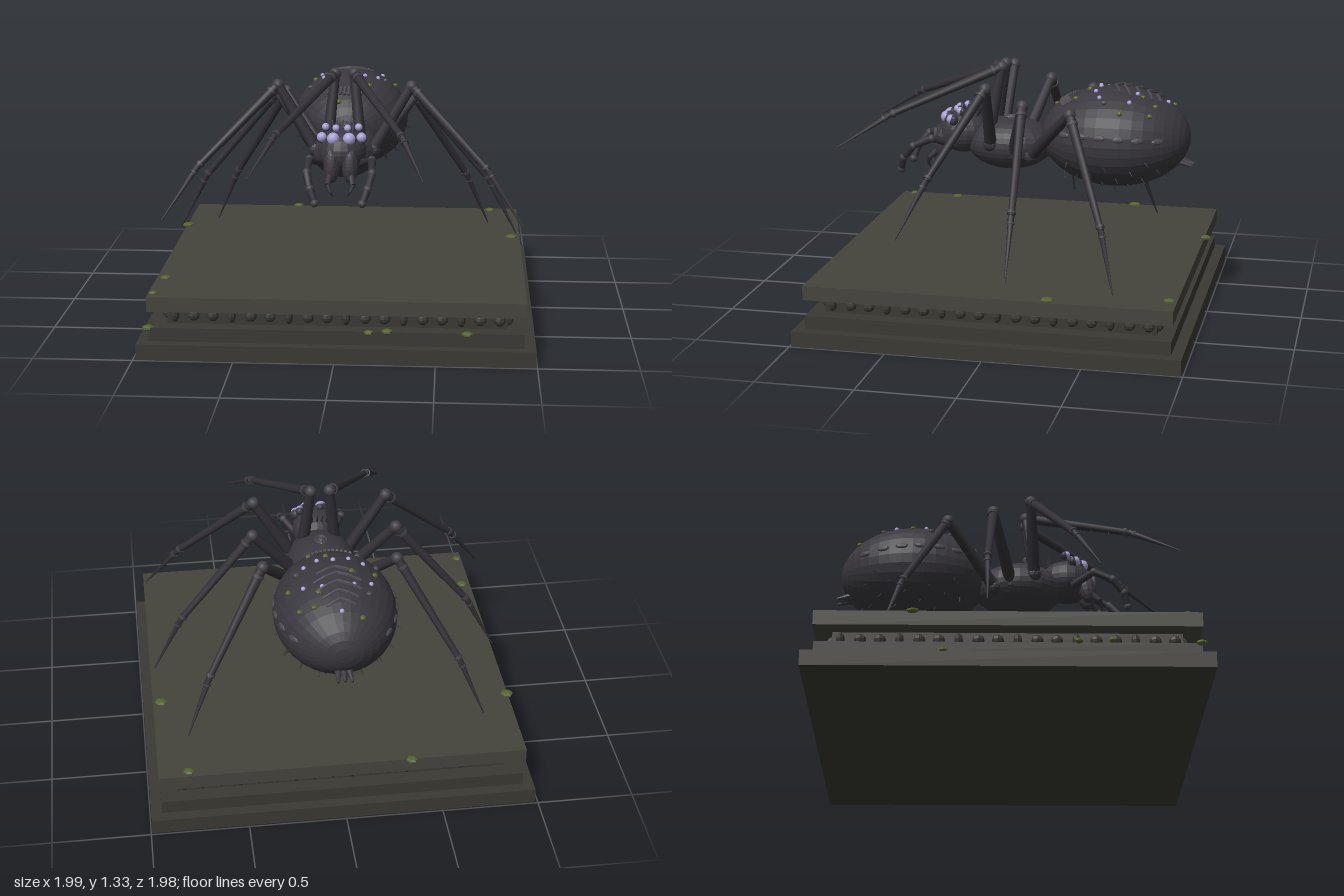
import * as THREE from 'three';

const mat = (color, flatShading = true) => new THREE.MeshStandardMaterial({ color, flatShading });
const M = {
  stone: mat(0x45443c), darkStone: mat(0x3a3933), moss: mat(0x56632f),
  body: mat(0x3a383e), leg: mat(0x323036, false), joint: mat(0x413f45, false),
  mark: mat(0x4a484f), eye: mat(0xa8a2d8, false),
};
const V = (x, y, z) => new THREE.Vector3(x, y, z);
const UP = V(0, 1, 0);

export function createModel() {
  const root = new THREE.Group();

  const add = (name, geo, material, pos, parent = root) => {
    const m = new THREE.Mesh(geo, material);
    m.name = name;
    m.position.copy(pos);
    parent.add(m);
    return m;
  };
  const ball = (name, pos, rx, ry, rz, material, parent = root, w = 12, h = 8) => {
    const m = add(name, new THREE.SphereGeometry(1, w, h), material, pos, parent);
    m.scale.set(rx, ry, rz);
    return m;
  };
  // Tapered rod between two points
  const rod = (name, a, b, r0, r1, material, parent = root, sides = 8) => {
    const d = b.clone().sub(a);
    const m = add(name, new THREE.CylinderGeometry(r1, r0, d.length(), sides), material,
      a.clone().add(b).multiplyScalar(0.5), parent);
    m.quaternion.setFromUnitVectors(UP, d.normalize());
    return m;
  };

  // Stepped plinth
  const cx = 0.005;
  const slab = (name, w, y0, y1, material) =>
    add(name, new THREE.BoxGeometry(w, y1 - y0, w), material, V(cx, (y0 + y1) / 2, 0));
  slab('plinthFoot', 1.98, 0, 0.08, M.darkStone);
  slab('plinthStep', 1.865, 0.08, 0.15, M.darkStone);
  slab('plinthNeck', 1.7, 0.15, 0.235, M.darkStone);
  slab('plinthTop', 1.88, 0.235, 0.31, M.stone);

  // Bead moulding on all four sides
  const beads = new THREE.Group();
  beads.name = 'beadMoulding';
  root.add(beads);
  for (let side = 0; side < 4; side++) {
    for (let i = 0; i < 18; i++) {
      const t = -0.81 + i * 0.0953, long = i % 3 === 0;
      const p = V(t, 0.195, 0.85).applyAxisAngle(UP, side * Math.PI / 2);
      p.x += cx;
      const b = ball('bead', p, long ? 0.021 : 0.03, long ? 0.038 : 0.03, 0.03, M.darkStone, beads, 8, 6);
      b.rotation.y = side * Math.PI / 2;
    }
  }

  // Moss tufts: x, y, z, radius
  [[0.79, 0.31, -0.9, 0.03], [0.9, 0.31, -0.31, 0.035], [-0.93, 0.31, -0.46, 0.035],
    [-0.97, 0.085, -0.31, 0.03], [-0.89, 0.31, 0.6, 0.03], [-0.91, 0.31, 0.87, 0.025],
    [0.17, 0.15, 0.945, 0.025], [0.26, 0.15, 0.92, 0.03], [0.655, 0.15, 0.94, 0.03],
    [-0.34, 0.31, -0.945, 0.03], [-0.95, 0.15, 0.34, 0.022], [-0.96, 0.15, 0.5, 0.02],
    [-0.93, 0.15, 0.93, 0.03]]
    .forEach(([x, y, z, r]) => ball('mossTuft', V(x, y, z), r, 0.013, r, M.moss, root, 6, 5));

  // Abdomen, with a helper that finds its skin
  const C = V(0, 0.945, -0.495), R = V(0.315, 0.265, 0.395);
  const abdomen = ball('abdomen', C, R.z, R.x, R.y, M.body, root, 32, 20);
  abdomen.geometry.rotateX(Math.PI / 2);
  abdomen.scale.copy(R);
  const normalAt = p => p.clone().sub(C).divide(R).divide(R).normalize();
  const top = (x, z, lift = 0) => {
    const k = 1 - (x / R.x) ** 2 - ((z - C.z) / R.z) ** 2;
    const p = V(x, C.y + R.y * Math.sqrt(Math.max(0, k)), z);
    return p.addScaledVector(normalAt(p), lift);
  };
  const skin = (theta, z) => {
    const s = Math.sqrt(Math.max(0, 1 - ((z - C.z) / R.z) ** 2));
    return V(R.x * s * Math.cos(theta), C.y + R.y * s * Math.sin(theta), z);
  };

  // Back chevrons
  [[-0.71, 0.07], [-0.66, 0.09], [-0.6, 0.115], [-0.54, 0.12], [-0.49, 0.1]].forEach(([z, w]) => {
    for (const s of [-1, 1]) {
      const mid = top(s * w / 2, z - w * 0.2, 0.004);
      rod('chevron', top(0, z, 0.004), mid, 0.009, 0.009, M.mark, root, 6);
      rod('chevron', mid, top(s * w, z - w * 0.4, 0.004), 0.009, 0.006, M.mark, root, 6);
    }
  });
  // Crescent of short ridges near the waist
  for (let i = -5; i <= 5; i++) {
    const x = i * 0.021, z = -0.225 - 0.0011 * i * i;
    rod('waistRidge', top(x, z - 0.025, 0.003), top(x * 1.06, z + 0.025, 0.003), 0.008, 0.008, M.mark, root, 5);
  }
  // Pale spots
  [[0, -0.77], [0.17, -0.59], [0.08, -0.4], [0.15, -0.43], [0.08, -0.62]].forEach(([x, z]) =>
    (x ? [-1, 1] : [1]).forEach(s => ball('paleSpot', top(s * x, z), 0.012, 0.012, 0.012, M.eye)));
  ball('paleSpot', top(0, -0.415), 0.013, 0.013, 0.013, M.eye);
  // Mossy and dark warts
  [[0.13, -0.72], [0.2, -0.7], [-0.15, -0.66], [0.1, -0.65], [-0.08, -0.52], [0.19, -0.46], [-0.2, -0.5],
    [0.11, -0.3], [-0.14, -0.3], [-0.05, -0.17], [0.03, -0.36], [-0.22, -0.4], [0.24, -0.55], [-0.1, -0.79]]
    .forEach(([x, z], i) => ball('wart', top(x, z), 0.016, 0.013, 0.016, i % 3 === 2 ? M.mark : M.moss, root, 7, 5));

  for (const s of [-1, 1]) {
    // Flank plates
    for (let i = 0; i < 6; i++) {
      const p = skin(0.22 - i * 0.015, -0.26 - i * 0.098);
      p.x *= s;
      const b = ball('flankPlate', p, 0.035, 0.016, 0.01, M.mark, root, 8, 6);
      b.lookAt(p.clone().add(normalAt(p)));
    }
    // Bristles on flanks and belly
    for (let i = 0; i < 22; i++) {
      const p = skin(-0.2 - ((i * 0.618) % 1) * 1.3, -0.22 - i * 0.026);
      p.x *= s;
      const n = normalAt(p).add(V(0, -0.2, -0.5)).normalize();
      rod('bristle', p, p.clone().addScaledVector(n, 0.035), 0.004, 0.001, M.leg, root, 4);
    }
    // Spinnerets
    rod('spinneret', V(s * 0.025, 0.83, -0.82), V(s * 0.035, 0.805, -0.91), 0.022, 0.007, M.body);
  }
  rod('spinneret', V(0, 0.83, -0.82), V(0, 0.81, -0.91), 0.022, 0.008, M.body);

  // Waist, thorax and head
  ball('waist', V(0, 0.88, -0.12), 0.075, 0.07, 0.08, M.body);
  ball('thorax', V(0, 0.88, 0.075), 0.18, 0.14, 0.235, M.body, root, 24, 16);
  ball('head', V(0, 0.93, 0.33), 0.125, 0.115, 0.14, M.body, root, 20, 14);
  const crest = add('thoraxRing', new THREE.TorusGeometry(0.028, 0.006, 6, 16), M.mark, V(0, 1.02, 0.07));
  crest.rotation.x = Math.PI / 2;
  crest.scale.y = 1.3;
  ball('thoraxBoss', V(0, 1.02, 0.07), 0.018, 0.012, 0.024, M.mark);
  for (let i = -2; i <= 2; i++) {
    rod('headBristle', V(i * 0.025, 1.02, 0.25), V(i * 0.028, 1.07, 0.225), 0.006, 0.002, M.leg, root, 5);
  }

  for (const s of [-1, 1]) {
    const P = (x, y, z) => V(s * x, y, z);

    // Eyes: x, y, z, radius
    [[0.041, 1.01, 0.415, 0.033], [0.102, 1.01, 0.375, 0.026],
      [0.03, 1.055, 0.36, 0.019], [0.085, 1.055, 0.33, 0.02]].forEach(([x, y, z, r]) => {
      ball('eyeSocket', P(x, y - 0.004, z - 0.012), r * 1.12, r * 1.12, r, M.body);
      ball('eye', P(x, y, z), r, r, r, M.eye, root, 14, 10);
    });

    // Jaws and curved fangs
    const jaw = ball('jaw', P(0.047, 0.88, 0.435), 0.043, 0.095, 0.05, M.body, root, 12, 10);
    jaw.rotation.x = -0.2;
    ball('jawPlate', P(0.047, 0.9, 0.475), 0.022, 0.05, 0.016, M.mark);
    const fang = [P(0.055, 0.83, 0.465), P(0.065, 0.79, 0.505), P(0.05, 0.755, 0.52), P(0.035, 0.73, 0.51)];
    fang.slice(1).forEach((p, i) => rod('fang', fang[i], p, 0.02 - i * 0.006, 0.014 - i * 0.006, M.leg));

    // Feelers
    const palp = [P(0.09, 0.87, 0.36), P(0.16, 0.915, 0.47), P(0.165, 0.87, 0.57), P(0.145, 0.8, 0.63), P(0.12, 0.73, 0.65)];
    palp.slice(1).forEach((p, i) => {
      rod('feeler', palp[i], p, 0.021, 0.018, M.leg);
      ball('feelerJoint', p, 0.022, 0.022, 0.022, M.joint);
    });

    // Legs: hip, knee, ankle, tip
    [[[0.09, 0.9, 0.18], [0.05, 1.295, 0.11], [0.32, 1.07, 0.65], [0.43, 0.905, 0.91]],
      [[0.15, 0.9, 0.15], [0.35, 1.235, 0.13], [0.75, 0.84, 0.34], [0.93, 0.575, 0.455]],
      [[0.13, 0.85, 0.03], [0.375, 1.16, -0.07], [0.765, 0.69, -0.1], [0.92, 0.385, -0.1]],
      [[0.12, 0.84, -0.06], [0.345, 1.12, -0.31], [0.65, 0.61, -0.53], [0.775, 0.312, -0.615]],
    ].forEach((pts, i) => {
      const leg = new THREE.Group();
      leg.name = (s > 0 ? 'left' : 'right') + 'Leg' + (i + 1);
      root.add(leg);
      const [hip, knee, ankle, tip] = pts.map(p => P(...p));
      ball('hip', hip, 0.042, 0.042, 0.042, M.body, leg);
      rod('thigh', hip, knee, 0.034, 0.025, M.leg, leg, 10);
      ball('knee', knee, 0.032, 0.032, 0.032, M.joint, leg);
      rod('shin', knee, ankle, 0.026, 0.017, M.leg, leg, 10);
      rod('foot', ankle, tip, 0.017, 0.003, M.leg, leg);
      // Collars below the knee and around the ankle
      const collar = (a, b, t, r) =>
        rod('collar', a.clone().lerp(b, t), a.clone().lerp(b, t + 0.025), r, r, M.joint, leg, 10);
      collar(knee, ankle, 0.07, 0.03);
      collar(knee, ankle, 0.96, 0.023);
      collar(ankle, tip, 0.1, 0.021);
      // Small spurs along the shin
      for (let k = 1; k <= 3; k++) {
        const p = knee.clone().lerp(ankle, 0.3 + k * 0.17);
        rod('spur', p, p.clone().add(P(0.012, -0.032, 0)), 0.005, 0.001, M.leg, leg, 4);
      }
    });
  }
  return root;
}
